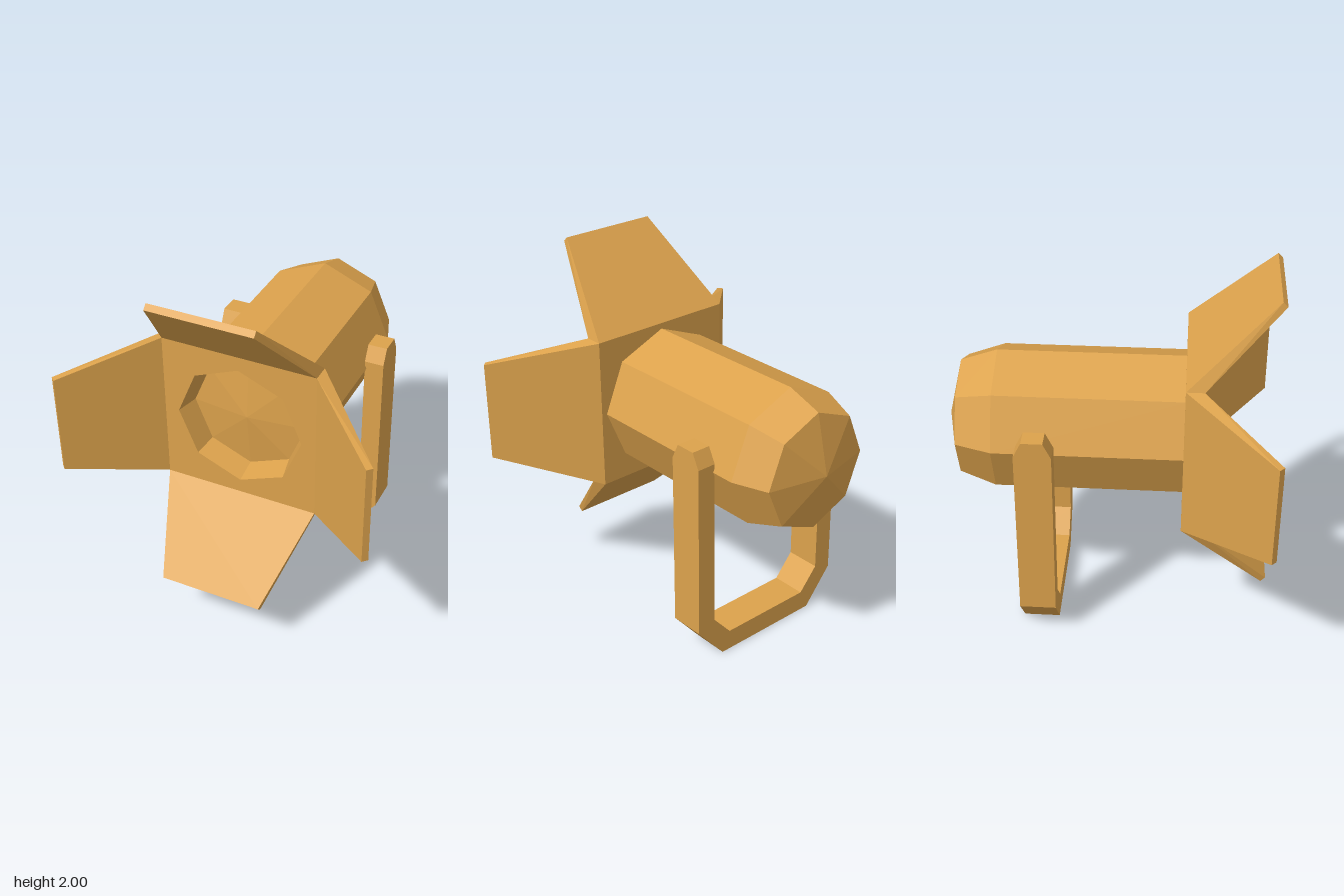
import * as THREE from 'three';
import { ConvexGeometry } from 'three/addons/geometries/ConvexGeometry.js';

const CY = 1.14; // height of the lamp axis
const material = new THREE.MeshStandardMaterial({ color: 0xdca24c, flatShading: true });
const pts = (list) => list.map(([x, y]) => new THREE.Vector2(x, y));

function add(parent, name, geometry) {
  const mesh = new THREE.Mesh(geometry, material);
  mesh.name = name;
  parent.add(mesh);
  return mesh;
}

// Eight-sided turned form lying along z; profile is [radius, z]
function octLathe(profile) {
  return new THREE.LatheGeometry(pts(profile), 8).rotateX(Math.PI / 2);
}

function extrude(shape, depth) {
  return new THREE.ExtrudeGeometry(shape, { depth, bevelEnabled: false });
}

export function createModel() {
  const model = new THREE.Group();
  model.name = 'spotlight';

  // Lamp head, centred on its own axis
  const head = new THREE.Group();
  head.name = 'head';
  head.position.y = CY;
  model.add(head);

  // Housing with tapered shoulder and shallow conical back
  add(head, 'housing', octLathe([[0, -0.87], [0.325, -0.795], [0.393, -0.6], [0.393, 0.4]]));

  // Square front plate with an octagonal opening
  const h = 0.425;
  const plate = new THREE.Shape(pts([[-h, -h], [h, -h], [h, h], [-h, h]]));
  const opening = [];
  for (let i = 0; i < 8; i++) {
    const a = (-i * Math.PI) / 4;
    opening.push([0.347 * Math.cos(a), 0.347 * Math.sin(a)]);
  }
  plate.holes.push(new THREE.Path(pts(opening)));
  add(head, 'frontPlate', extrude(plate, 0.095).translate(0, 0, 0.395));

  // Recessed rim and faceted lens
  add(head, 'rim', octLathe([[0.347, 0.49], [0.317, 0.365]]));
  add(head, 'lens', octLathe([[0.317, 0.365], [0, 0.4]]));

  // Four flared barn doors, one per plate edge
  const corners = [];
  for (const s of [-1, 1]) {
    for (const [x, y, z] of [[h, h, 0.395], [h, h, 0.49], [0.28, 0.86, 0.845], [0.28, 0.835, 0.87]]) {
      corners.push(new THREE.Vector3(s * x, y, z));
    }
  }
  const doorGeometry = new ConvexGeometry(corners);
  ['topDoor', 'rightDoor', 'bottomDoor', 'leftDoor'].forEach((name, i) => {
    add(head, name, doorGeometry).rotation.z = (i * Math.PI) / 2;
  });

  // U-shaped yoke
  const yoke = new THREE.Group();
  yoke.name = 'yoke';
  model.add(yoke);
  const u = new THREE.Shape(pts([
    [-0.49, 1.185], [-0.49, 0.2], [-0.322, 0], [0.322, 0], [0.49, 0.2], [0.49, 1.185],
    [0.383, 1.185], [0.383, 0.243], [0.272, 0.115], [-0.272, 0.115], [-0.383, 0.243], [-0.383, 1.185],
  ]));
  add(yoke, 'yokeFrame', extrude(u, 0.196).translate(0, 0, -0.468));

  // Chamfered tips of the yoke arms
  const tip = new THREE.Shape(pts([[-0.098, 1.185], [0.098, 1.185], [0.056, 1.27], [-0.056, 1.27]]));
  for (const [name, x] of [['leftYokeTip', 0.383], ['rightYokeTip', -0.49]]) {
    add(yoke, name, extrude(tip, 0.107).rotateY(Math.PI / 2).translate(x, 0, -0.37));
  }

  return model;
}
